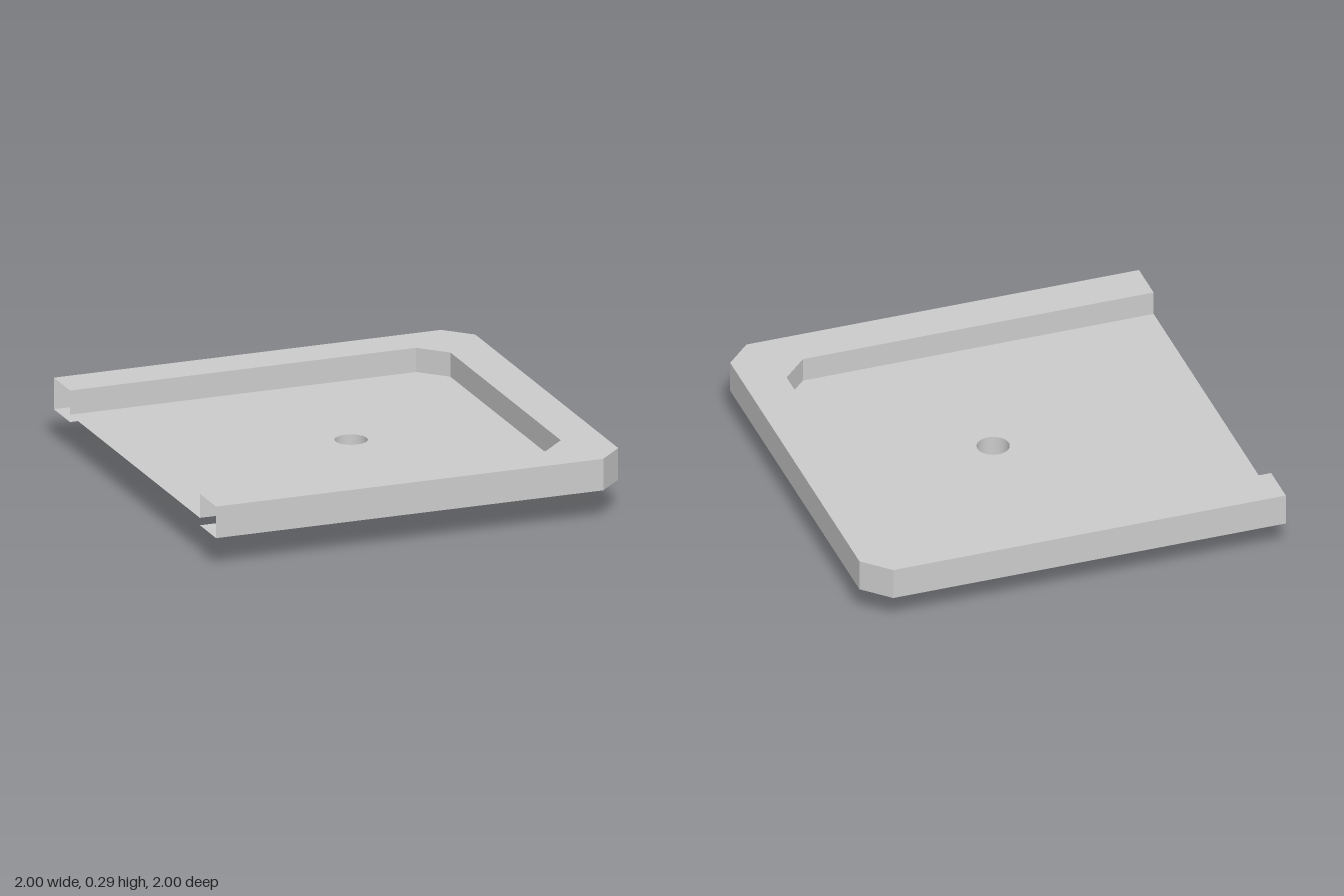
import * as THREE from 'three';

const TOP = 0.295, BOTTOM = 0.145, FLOOR = 0.18;
const STUD_X = 0.05, STUD_R = 0.075;

// U-shaped outline as [x, z], open at x = -1, with cut corners at +x
const outline = (r, cut) => [
  [-1, -r], [r - cut, -r], [r, -r + cut], [r, r - cut], [r - cut, r], [-1, r],
];
const outer = outline(1, 0.12);
const inner = outline(0.8, 0.12);
const opening = [[-1, -0.8], [0.8, -0.8], [0.8, 0.8], [-1, 0.8]];

export function createModel() {
  const group = new THREE.Group();
  const material = new THREE.MeshStandardMaterial({ color: 0xcccccc, side: THREE.DoubleSide });

  const add = (name, geometry) => {
    const mesh = new THREE.Mesh(geometry, material);
    mesh.name = name;
    group.add(mesh);
    return mesh;
  };

  // Flat horizontal sheet from an [x, z] outline, facing up
  const sheet = (name, points, y, hole) => {
    const shape = new THREE.Shape(points.map(([x, z]) => new THREE.Vector2(x, -z)));
    if (hole) shape.holes.push(hole);
    add(name, new THREE.ShapeGeometry(shape, 32).rotateX(-Math.PI / 2).translate(0, y, 0));
  };

  // Upright sheet along an [x, z] path, one flat panel per segment
  const wall = (name, path, y0, y1) => {
    const positions = [];
    for (let i = 0; i < path.length - 1; i++) {
      const [ax, az] = path[i], [bx, bz] = path[i + 1];
      positions.push(ax, y0, az, ax, y1, az, bx, y1, bz, ax, y0, az, bx, y1, bz, bx, y0, bz);
    }
    const geometry = new THREE.BufferGeometry();
    geometry.setAttribute('position', new THREE.Float32BufferAttribute(positions, 3));
    geometry.computeVertexNormals();
    add(name, geometry);
  };

  // Hollow rim, open at its two ends
  sheet('rimTop', [...outer, ...[...inner].reverse()], TOP);
  sheet('rimUnderside', [...outer, ...[...opening].reverse()], BOTTOM);
  wall('rimOuterWall', outer, BOTTOM, TOP);
  wall('rimInnerWall', [...inner].reverse(), FLOOR, TOP);

  // Tray floor with a round hole leading into the stud
  const hole = new THREE.Path().absarc(STUD_X, 0, STUD_R, 0, Math.PI * 2, true);
  sheet('trayFloor', inner, FLOOR, hole);

  // Hollow stud below the floor, closed at its foot
  const tube = new THREE.CylinderGeometry(STUD_R, STUD_R, FLOOR, 64, 1, true);
  add('studWall', tube).position.set(STUD_X, FLOOR / 2, 0);
  add('studFoot', new THREE.CircleGeometry(STUD_R, 64).rotateX(Math.PI / 2)).position.x = STUD_X;

  return group;
}
